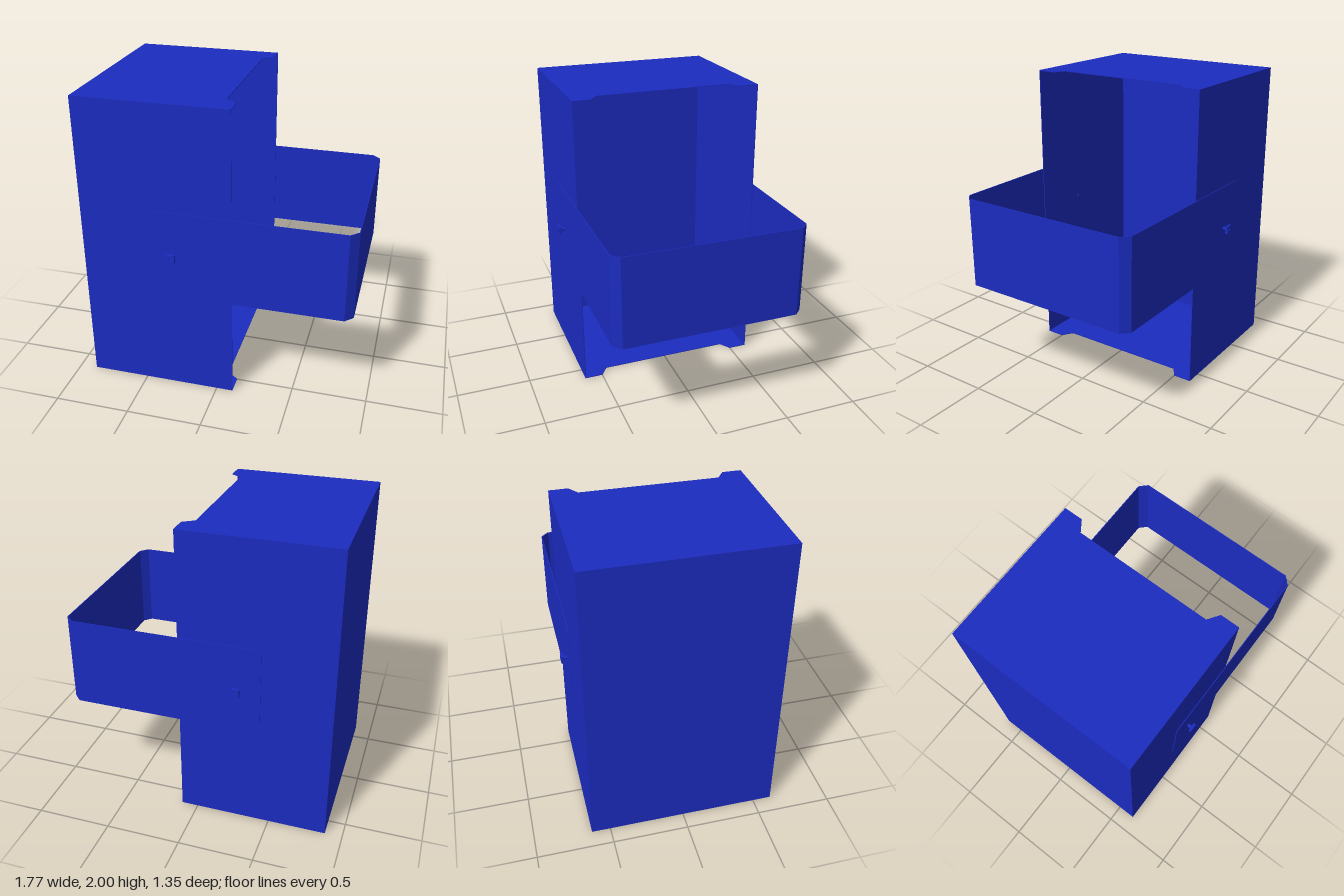
import * as THREE from 'three';

const material = new THREE.MeshStandardMaterial({ color: 0x1c2cc0, side: THREE.DoubleSide });
const T = 0.005;                          // sheet thickness
const X0 = -0.885, X1 = 0.111, Z = 0.624; // box extents
const PIN = { x: -0.275, y: 1, hole: 0.009 };

function add(parent, name, geometry) {
  const mesh = new THREE.Mesh(geometry, material);
  mesh.name = name;
  parent.add(mesh);
  return mesh;
}

function extrude(points, depth, hole) {
  const shape = new THREE.Shape(points.map(([x, y]) => new THREE.Vector2(x, y)));
  if (hole) shape.holes.push(new THREE.Path().absarc(hole.x, hole.y, hole.hole, 0, Math.PI * 2, true));
  return new THREE.ExtrudeGeometry(shape, { depth, bevelEnabled: false, curveSegments: 8 });
}

const rect = (x0, y0, x1, y1) => [[x0, y0], [x1, y0], [x1, y1], [x0, y1]];

// Outline drawn in x and z, with its thickness going down from y = 0
const flat = (points, depth) => extrude(points, depth).rotateX(Math.PI / 2);

export function createModel() {
  const model = new THREE.Group();

  // Thin box, open towards +x
  const box = new THREE.Group();
  box.name = 'openBox';
  model.add(box);
  add(box, 'rearWall', new THREE.BoxGeometry(T, 2, 2 * Z)).position.set(X0 + T / 2, 1, 0);

  // Top and floor with a tapered notch in the open edge
  const notched = [
    [X0, -Z], [X1, -Z], [X1, -0.5], [0.038, -0.45],
    [0.038, 0.45], [X1, 0.5], [X1, Z], [X0, Z],
  ];
  add(box, 'topPanel', flat(notched, T)).position.y = 2;
  add(box, 'floorPanel', flat(notched, T)).position.y = T;

  // Side walls, strap arms and hollow pins, on both sides
  for (const [side, s] of [['front', 1], ['back', -1]]) {
    const place = (mesh, z, depth) => { mesh.position.z = s > 0 ? z : -z - depth; };
    place(add(box, side + 'Wall', extrude(rect(X0, 0, X1, 2), T, PIN)), Z - T, T);
    place(add(model, side + 'StrapArm', extrude(rect(-0.425, 0.7, 0.83, 1.3), T, PIN)), Z, T);

    const pin = new THREE.Group();
    pin.name = side + 'Pin';
    model.add(pin);
    const stem = new THREE.Shape().absarc(PIN.x, PIN.y, 0.012, 0, Math.PI * 2);
    stem.holes.push(new THREE.Path().absarc(PIN.x, PIN.y, PIN.hole, 0, Math.PI * 2, true));
    place(add(pin, 'pinStem', new THREE.ExtrudeGeometry(stem,
      { depth: 0.028, bevelEnabled: false, curveSegments: 8 })), Z + T, 0.028);
    const r = 0.026;
    place(add(pin, 'pinHead',
      extrude(rect(PIN.x - r, PIN.y - r, PIN.x + r, PIN.y + r), 0.018, PIN)), 0.655, 0.018);
  }

  // Strap end with chamfered corners
  const zo = Z + T, xo = 0.882, c = 0.052, i = T * 0.41;
  add(model, 'strapEnd', flat([
    [xo - c, -zo], [xo, -zo + c], [xo, zo - c], [xo - c, zo],
    [xo - c - i, zo - T], [xo - T, zo - c - i], [xo - T, -zo + c + i], [xo - c - i, -zo + T],
  ], 0.6)).position.y = 1.3;

  return model;
}
